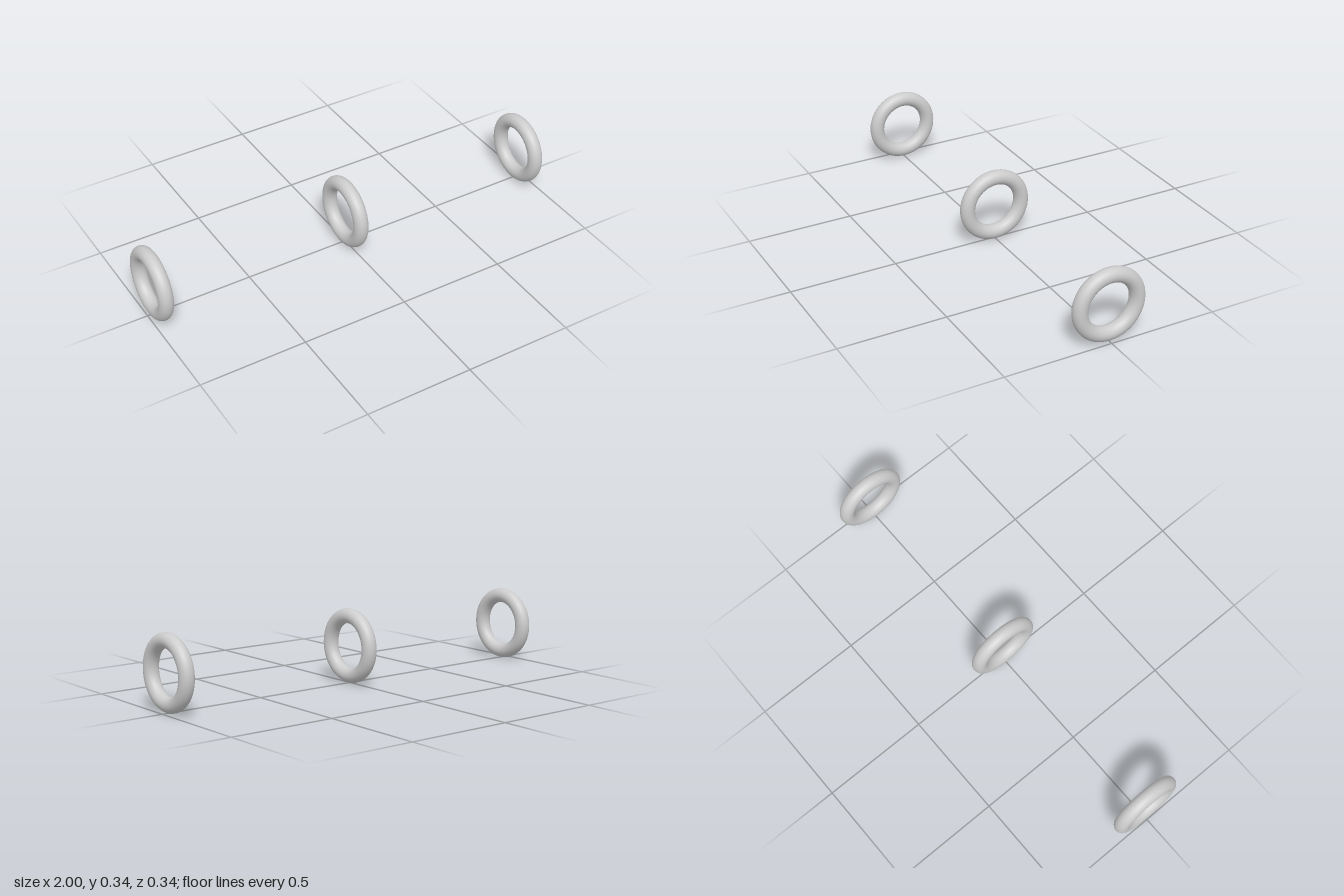
import * as THREE from 'three';

const RING_RADIUS = 0.1365;
const TUBE_RADIUS = 0.034;

export function createModel() {
  const group = new THREE.Group();
  group.name = 'ringRow';
  const material = new THREE.MeshStandardMaterial({ color: 0xcccccc });

  // One smooth ring, turned so its axis runs along x
  const ring = new THREE.TorusGeometry(RING_RADIUS, TUBE_RADIUS, 32, 96);
  ring.rotateY(Math.PI / 2);

  // Three equal rings standing on the floor, evenly spaced
  const spacing = 1 - TUBE_RADIUS;
  ['rightRing', 'middleRing', 'leftRing'].forEach((name, i) => {
    const mesh = new THREE.Mesh(ring, material);
    mesh.name = name;
    mesh.position.set((i - 1) * spacing, RING_RADIUS + TUBE_RADIUS, 0);
    group.add(mesh);
  });
  return group;
}
